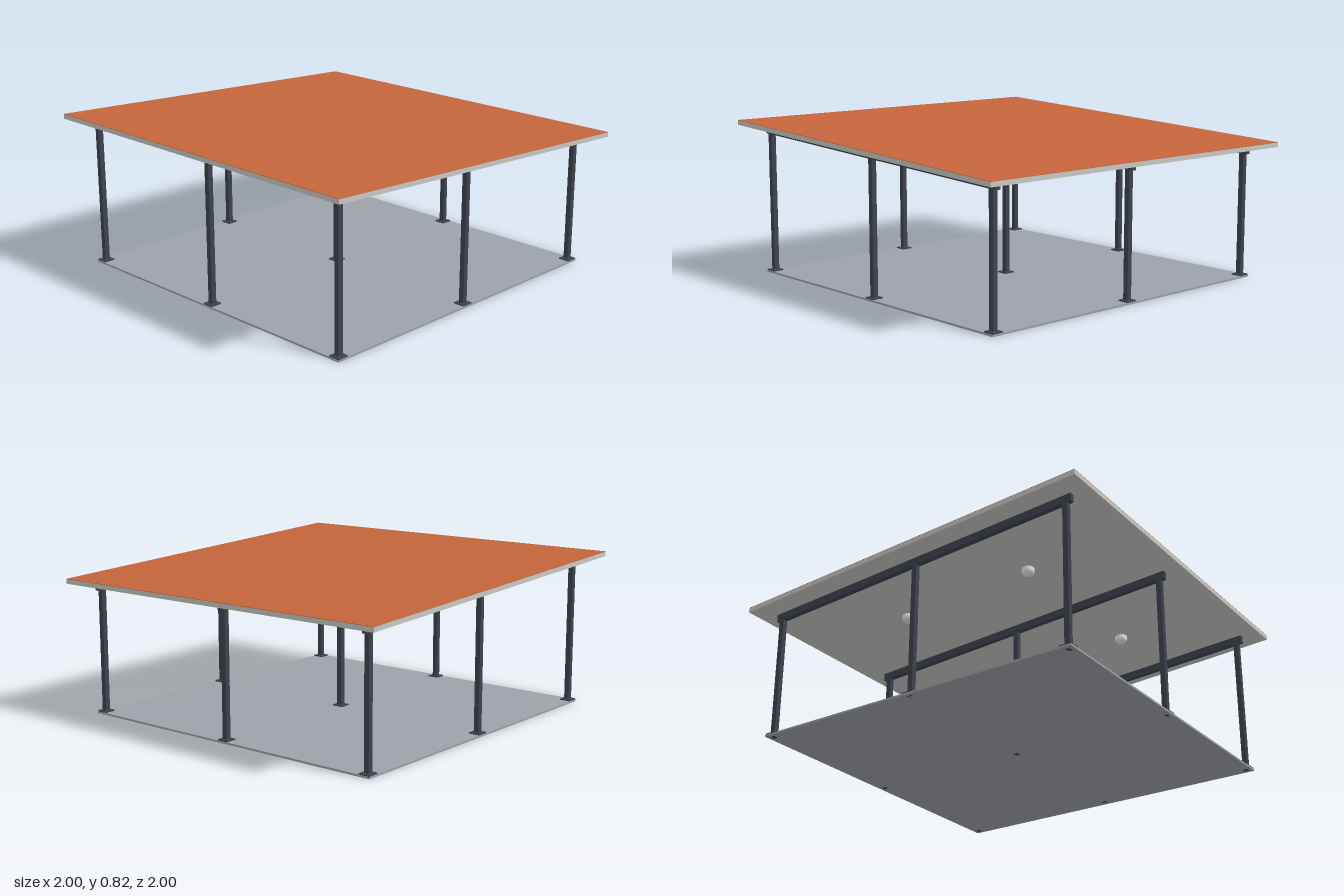
import * as THREE from 'three';

const SLOPE = 0.051;       // roof rise per unit of z
const ROOF_UNDER = 0.74;   // underside height at z = 0
const BEAM_DEPTH = 0.04;

const material = (name, color) => {
  const m = new THREE.MeshStandardMaterial({ color });
  m.name = name;
  return m;
};

export function createModel() {
  const group = new THREE.Group();
  const steel = material('dark steel', 0x3d424d);
  const concrete = material('concrete', 0x9da1a8);
  const panel = material('light panel', 0xc8c8c4);
  const roofing = material('terracotta roofing', 0xc4653b);
  const lampWhite = material('lamp white', 0xe8e8e4);

  const add = (name, geometry, mat, x = 0, y = 0, z = 0) => {
    const mesh = new THREE.Mesh(geometry, mat);
    mesh.name = name;
    mesh.position.set(x, y, z);
    group.add(mesh);
    return mesh;
  };

  // Box whose top and bottom follow the roof pitch; ends stay vertical
  const pitchedBox = (w, h, d) => {
    const g = new THREE.BoxGeometry(w, h, d);
    const p = g.attributes.position;
    for (let i = 0; i < p.count; i++) p.setY(i, p.getY(i) + SLOPE * p.getZ(i));
    g.computeVertexNormals();
    return g;
  };

  // Floor slab
  add('floor', new THREE.BoxGeometry(1.81, 0.01, 1.81), concrete, 0, 0.005, 0);

  // Roof panel with a coloured sheet on top
  add('roofPanel', pitchedBox(2, 0.024, 2), panel, 0, ROOF_UNDER + 0.012, 0);
  add('roofSheet', pitchedBox(2, 0.002, 2), roofing, 0, ROOF_UNDER + 0.025, 0);

  // Three pitched beams, each on three posts with base plates
  for (const x of [-0.873, 0, 0.873]) {
    add('beam', pitchedBox(0.027, BEAM_DEPTH, 1.81), steel, x, ROOF_UNDER - BEAM_DEPTH / 2, 0);
    for (const z of [-0.873, 0, 0.873]) {
      const height = ROOF_UNDER + SLOPE * z - BEAM_DEPTH + 0.003;
      add('post', new THREE.BoxGeometry(0.027, height, 0.027), steel, x, height / 2, z);
      add('basePlate', new THREE.BoxGeometry(0.06, 0.014, 0.06), steel, x, 0.009, z);
    }
  }

  // Ceiling lamps: short drum with a rounded bowl below
  const profile = [new THREE.Vector2(0, -0.042)];
  for (let i = 1; i <= 8; i++) {
    const a = (i / 8) * Math.PI / 2;
    profile.push(new THREE.Vector2(0.032 * Math.sin(a), -0.018 - 0.024 * Math.cos(a)));
  }
  const bowl = new THREE.LatheGeometry(profile, 24);
  const drum = new THREE.CylinderGeometry(0.032, 0.032, 0.018, 24);
  for (const x of [-0.455, 0.455]) {
    for (const z of [-0.38, 0.38]) {
      const y = ROOF_UNDER + SLOPE * z;
      add('lampBowl', bowl, lampWhite, x, y, z);
      add('lampDrum', drum, lampWhite, x, y - 0.009, z);
    }
  }

  return group;
}
